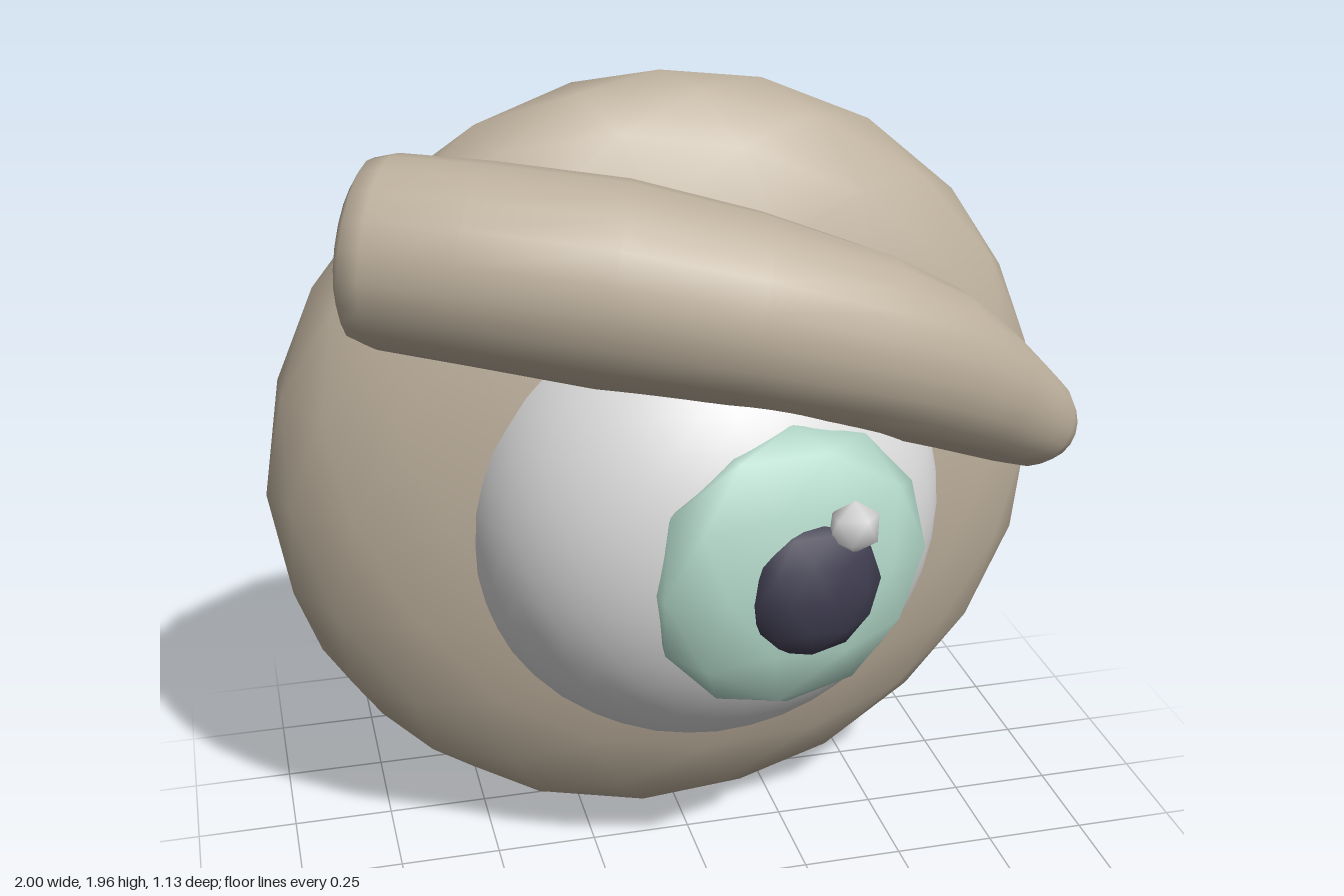
import * as THREE from 'three';

const paint = (name, color) => {
  const m = new THREE.MeshStandardMaterial({ color });
  m.name = name;
  return m;
};

// Smooth-shaded icosphere with a vertex at the top, stretched into an ellipsoid
function ball(name, material, detail, center, radii, yaw = 0) {
  const g = new THREE.IcosahedronGeometry(1, detail);
  g.rotateX(-Math.atan((1 + Math.sqrt(5)) / 2));
  g.rotateY(Math.PI / 2);
  g.setAttribute('normal', g.attributes.position.clone());
  const mesh = new THREE.Mesh(g, material);
  mesh.name = name;
  mesh.position.set(...center);
  mesh.scale.set(...radii);
  mesh.rotation.y = yaw;
  return mesh;
}

// Closed tube along a curve; each station is [fraction along curve, radius]
function taperedTube(curve, stations, sides) {
  const pos = [], index = [];
  const up = new THREE.Vector3(0, 1, 0);
  stations.forEach(([u, r], i) => {
    const c = curve.getPointAt(u), t = curve.getTangentAt(u);
    const s = new THREE.Vector3().crossVectors(up, t).normalize();
    const n = new THREE.Vector3().crossVectors(t, s);
    for (let j = 0; j < sides; j++) {
      const a = (j / sides) * Math.PI * 2;
      const p = c.clone().addScaledVector(s, r * Math.cos(a)).addScaledVector(n, r * Math.sin(a));
      pos.push(p.x, p.y, p.z);
      if (i === stations.length - 1) continue;
      const k = i * sides, j2 = (j + 1) % sides;
      index.push(k + j, k + j2, k + sides + j, k + j2, k + sides + j2, k + sides + j);
    }
  });
  const g = new THREE.BufferGeometry();
  g.setAttribute('position', new THREE.Float32BufferAttribute(pos, 3));
  g.setIndex(index);
  g.computeVertexNormals();
  return g;
}

export function createModel() {
  const stone = paint('stone', 0xbdb09d);
  const white = paint('eyeWhite', 0xdcdcdc);
  const green = paint('irisGreen', 0xb4dacb);
  const dark = paint('pupilDark', 0x3f3d50);

  const model = new THREE.Group();
  model.name = 'eyeDisc';

  // Flattened body and the eye set into its front
  model.add(
    ball('body', stone, 3, [-0.02, 0.985, -0.19], [0.98, 0.98, 0.37]),
    ball('eyeball', white, 7, [0.03, 0.94, 0], [0.59, 0.59, 0.48]),
    ball('iris', green, 1, [0.15, 0.93, 0.38], [0.355, 0.355, 0.135], 0.2),
    ball('pupil', dark, 1, [0.18, 0.92, 0.475], [0.17, 0.17, 0.085], 0.24),
    ball('highlight', white, 0, [0.262, 1.075, 0.5], [0.065, 0.065, 0.05])
  );

  // Heavy slanted brow: blunt at the right end, tapering to a round left tip
  const path = new THREE.CatmullRomCurve3([
    new THREE.Vector3(-0.76, 1.635, -0.05),
    new THREE.Vector3(-0.2, 1.575, 0.18),
    new THREE.Vector3(0.42, 1.385, 0.22),
    new THREE.Vector3(0.88, 1.08, 0.01),
    new THREE.Vector3(0.97, 1.02, -0.05),
  ]);
  const profile = [
    [0, 0], [0, 0.16], [0.012, 0.205], [0.04, 0.222], [0.15, 0.23], [0.3, 0.237], [0.45, 0.225],
    [0.6, 0.208], [0.7, 0.192], [0.8, 0.165], [0.9, 0.135], [0.945, 0.12], [0.975, 0.095], [0.993, 0.055], [1, 0],
  ];
  const brow = new THREE.Mesh(taperedTube(path, profile, 20), stone);
  brow.name = 'brow';
  model.add(brow);

  return model;
}
